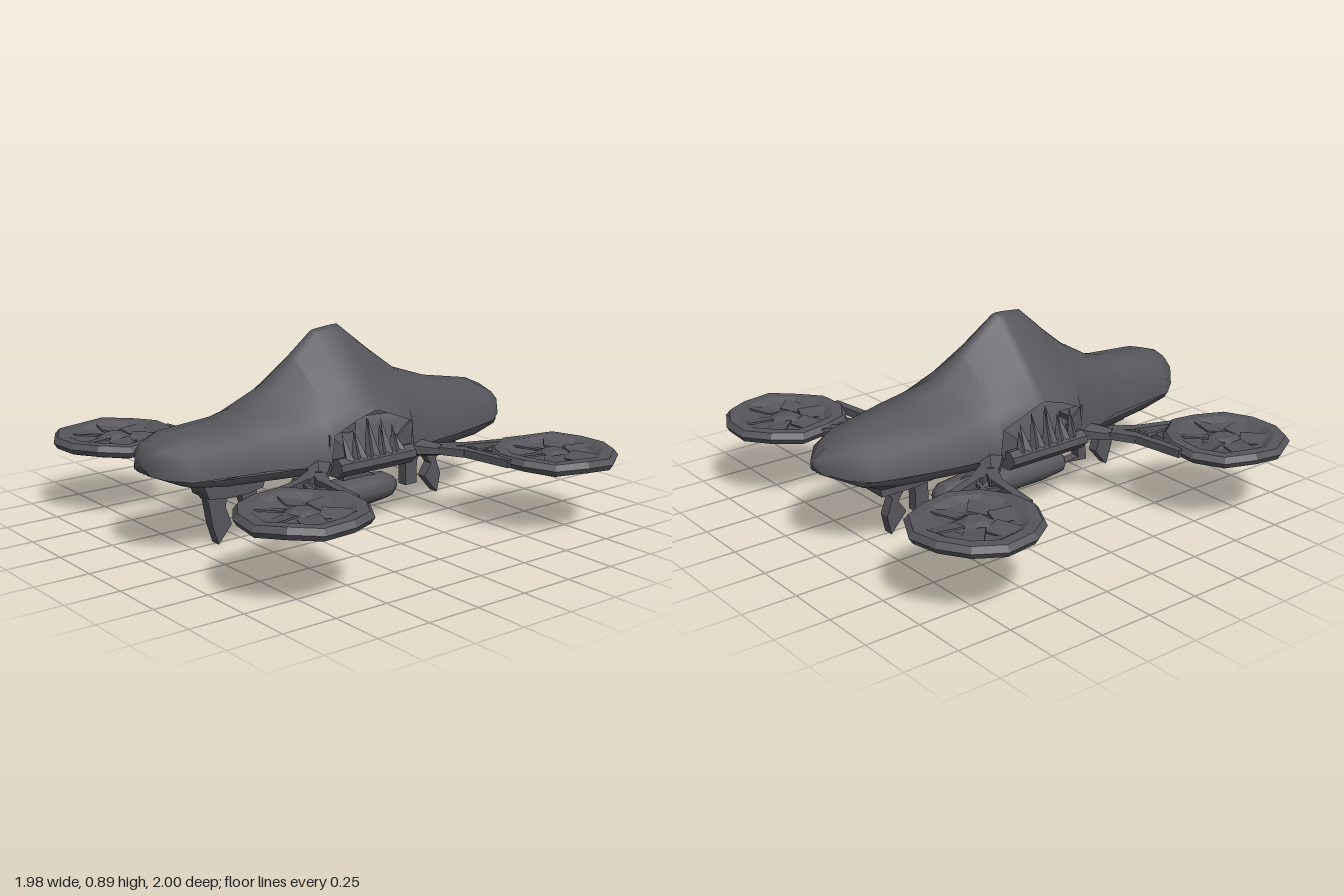
import * as THREE from 'three';

const gunmetal = new THREE.MeshStandardMaterial({ color: 0x55555b, side: THREE.DoubleSide });
gunmetal.name = 'gunmetal';

// Separate the faces so each one shades flat
function faceted(geo) {
  const g = geo.index ? geo.toNonIndexed() : geo;
  g.computeVertexNormals();
  return g;
}

function add(parent, name, geo, x = 0, y = 0, z = 0) {
  const m = new THREE.Mesh(geo, gunmetal);
  m.name = name;
  m.position.set(x, y, z);
  parent.add(m);
  return m;
}

// Skin a list of cross-sections, each a list of [x, y, z], closed to a point at both tips
function loft(sections) {
  const tip = x => sections[0].map(() => [x, 0.42, 0]);
  const rows = [tip(-0.99), ...sections, tip(0.99)];
  const n = rows[0].length, idx = [];
  for (let i = 0; i < rows.length - 1; i++) {
    for (let j = 0; j < n - 1; j++) {
      const a = i * n + j, b = a + n;
      idx.push(a, b, a + 1, b, b + 1, a + 1);
    }
  }
  const g = new THREE.BufferGeometry();
  g.setAttribute('position', new THREE.Float32BufferAttribute(rows.flat(2), 3));
  g.setIndex(idx);
  g.computeVertexNormals();
  return g;
}

// Turn a half profile of [z, y] into a full section at x
function section(x, half) {
  const left = half.map(([z, y]) => [x, y, z]);
  const right = half.slice(0, -1).reverse().map(([z, y]) => [x, y, -z]);
  return [...left, ...right];
}

// Lay a geometry that runs along z between two points
function span(parent, name, geo, a, b) {
  const q = new THREE.Vector3(...b);
  const m = add(parent, name, geo);
  m.position.set(...a).add(q).multiplyScalar(0.5);
  m.lookAt(q);
  return m;
}

const gap = (a, b) => Math.hypot(a[0] - b[0], a[1] - b[1], a[2] - b[2]);

// Straight bar between two points, w wide and h tall
function bar(parent, name, a, b, w, h) {
  return span(parent, name, new THREE.BoxGeometry(w, h, gap(a, b)), a, b);
}

// Flat outline in x and y given a thickness in z
function plate(parent, name, pts, depth, z = 0) {
  const shape = new THREE.Shape(pts.map(([x, y]) => new THREE.Vector2(x, y)));
  const g = new THREE.ExtrudeGeometry(shape, { depth, bevelEnabled: false });
  return add(parent, name, g, 0, 0, z - depth / 2);
}

function addHull(group) {
  // x, top height, half width, shoulder height, lower edge height, ridge half width
  const stations = [
    [-0.985, 0.47, 0.06, 0.44, 0.39, 0.03],
    [-0.95, 0.52, 0.12, 0.46, 0.38, 0.06],
    [-0.86, 0.55, 0.185, 0.47, 0.37, 0.08],
    [-0.6, 0.57, 0.2, 0.48, 0.36, 0.08],
    [-0.5, 0.595, 0.21, 0.5, 0.36, 0.07],
    [-0.35, 0.68, 0.27, 0.52, 0.36, 0.05],
    [-0.225, 0.78, 0.29, 0.55, 0.36, 0.04],
    [-0.21, 0.795, 0.292, 0.555, 0.485, 0.035],
    [-0.1, 0.89, 0.298, 0.58, 0.535, 0.025],
    [0, 0.9, 0.298, 0.585, 0.565, 0.025],
    [0.035, 0.9, 0.298, 0.585, 0.56, 0.025],
    [0.14, 0.82, 0.297, 0.57, 0.52, 0.03],
    [0.225, 0.755, 0.292, 0.55, 0.485, 0.035],
    [0.24, 0.745, 0.29, 0.545, 0.36, 0.04],
    [0.36, 0.66, 0.272, 0.52, 0.36, 0.05],
    [0.55, 0.595, 0.24, 0.49, 0.36, 0.06],
    [0.82, 0.545, 0.195, 0.46, 0.37, 0.06],
    [0.91, 0.505, 0.135, 0.45, 0.38, 0.04],
    [0.98, 0.46, 0.045, 0.43, 0.4, 0.02],
  ];
  // The tall middle has straight flanks, the ends are rounder
  add(group, 'upperHull', loft(stations.map(([x, top, w, sh, low, r]) => section(x, [
    [w * 1.04, low], [w * 0.96, sh],
    [w * 0.66, sh + (top - sh) * (top > 0.65 ? 0.35 : 0.55)], [r, top - 0.015], [0, top],
  ]))));

  // x, half width at the rim, rim height, floor height, keel height
  const belly = [
    [-0.98, 0.06, 0.39, 0.385, 0.385], [-0.86, 0.19, 0.37, 0.335, 0.33],
    [-0.7, 0.21, 0.36, 0.31, 0.285], [-0.4, 0.265, 0.36, 0.305, 0.277],
    [0, 0.315, 0.36, 0.3, 0.265], [0.4, 0.275, 0.36, 0.3, 0.243],
    [0.7, 0.22, 0.36, 0.305, 0.25], [0.86, 0.18, 0.37, 0.335, 0.33],
    [0.98, 0.045, 0.4, 0.39, 0.39],
  ];
  add(group, 'belly', loft(belly.map(([x, w, rim, low, keel]) => section(x, [
    [w, rim], [w * 0.92, rim - (rim - low) * 0.7], [w * 0.48, low],
    [w * 0.3, keel + 0.005], [0, keel],
  ]).reverse())));
}

// Wedge sill, corner webs and jagged leaning grille in each side arch
function addGrille(group, s) {
  const wedge = new THREE.Shape([[0.24, 0.3], [0.32, 0.3], [0.355, 0.335], [0.35, 0.365],
    [0.32, 0.385], [0.24, 0.37]].map(p => new THREE.Vector2(...p)));
  const sill = new THREE.ExtrudeGeometry(wedge, { depth: 0.42, bevelEnabled: false });
  sill.rotateY(-s * Math.PI / 2);
  // Both sides run the profile outward, away from the hull
  const m = add(group, 'grilleSill', sill, s * 0.21, 0, 0);
  m.rotation.y = Math.PI;
  m.position.x = -s * 0.21;
  m.position.z = 0;
  for (const sx of [1, -1]) {
    const web = [[0.23, 0.49], [0.235, 0.35], [0.12, 0.35], [0.14, 0.42]];
    plate(group, 'archWeb', web.map(([x, y]) => [sx * x, y]), 0.012, s * 0.288);
  }
  for (let i = 0; i < 9; i++) {
    const x = -0.144 + i * 0.036;
    const top = 0.555 - Math.abs(x) * 0.45 - (i % 3) * 0.02;
    const foot = [x, 0.365, s * 0.325], head = [x + (i % 2 ? 0.015 : -0.015), top, s * 0.282];
    const spike = new THREE.ConeGeometry(0.024, gap(foot, head), 4);
    spike.rotateX(Math.PI / 2);
    span(group, 'grilleSpike', faceted(spike), foot, head);
  }
}

function addRotor(group, sx, sz) {
  const rotor = new THREE.Group();
  rotor.name = 'rotor';
  rotor.position.set(sx * 0.698, 0, sz * 0.72);
  rotor.rotation.y = sx * 0.3 + sz * 0.5;
  group.add(rotor);
  // Ring and closed underside, slightly dented
  const profile = [[0, 0.3], [0.06, 0.295], [0.1, 0.31], [0.22, 0.305], [0.268, 0.32],
    [0.284, 0.345], [0.264, 0.37], [0.215, 0.37], [0.18, 0.35], [0.1, 0.335], [0, 0.335]];
  const duct = new THREE.LatheGeometry(profile.map(p => new THREE.Vector2(...p)), 12);
  const pos = duct.attributes.position;
  for (let i = 0; i < pos.count; i++) {
    const a = Math.atan2(pos.getZ(i), pos.getX(i) + 1e-9);
    const k = 1 + 0.018 * Math.sin(3 * a + sx);
    pos.setXYZ(i, pos.getX(i) * k, pos.getY(i) + 0.006 * Math.sin(5 * a + sz), pos.getZ(i) * k);
  }
  add(rotor, 'rotorDuct', faceted(duct));
  add(rotor, 'rotorHub', faceted(new THREE.CylinderGeometry(0.045, 0.1, 0.03, 7)), 0, 0.35, 0);
  for (let i = 0; i < 6; i++) {
    const pivot = new THREE.Group();
    pivot.name = 'rotorBlade';
    pivot.rotation.y = i * Math.PI / 3;
    rotor.add(pivot);
    const blade = add(pivot, 'blade', new THREE.BoxGeometry(0.14, 0.008, 0.09), 0.14, 0.35, 0);
    blade.rotation.x = 0.2;
  }
}

// Forked arm carrying one rotor
function addArm(group, sx, sz) {
  const at = (x, y, z) => [sx * x, y, sz * z];
  const strut = (a, b, w, h = 0.035) => bar(group, 'armStrut', at(...a), at(...b), w, h);
  const a = at(0.25, 0.35, 0.23), b = at(0.345, 0.344, 0.365);
  const root = new THREE.CylinderGeometry(0.04, 0.075, gap(a, b), 6);
  root.rotateX(Math.PI / 2);
  root.scale(1, 0.65, 1);
  span(group, 'armRoot', faceted(root), a, b);
  strut([0.32, 0.345, 0.32], [0.4, 0.345, 0.47], 0.055);
  strut([0.395, 0.345, 0.45], [0.432, 0.345, 0.72], 0.04);
  strut([0.31, 0.345, 0.31], [0.45, 0.345, 0.4], 0.055);
  strut([0.43, 0.345, 0.39], [0.66, 0.345, 0.475], 0.04);
  // Thin star brace in the fork
  const hub = [0.475, 0.34, 0.48];
  [[0.42, 0.345, 0.52], [0.46, 0.345, 0.41], [0.56, 0.345, 0.49], [0.5, 0.345, 0.57]]
    .forEach(p => strut(hub, p, 0.018, 0.016));
}

function addLegs(group) {
  // Wide mounts under the keel
  plate(group, 'rearMount', [[-0.73, 0.31], [-0.7, 0.235], [-0.6, 0.225], [-0.5, 0.225],
    [-0.42, 0.24], [-0.4, 0.31]], 0.13);
  plate(group, 'frontMount', [[0.41, 0.31], [0.43, 0.23], [0.53, 0.22], [0.7, 0.22],
    [0.72, 0.31]], 0.13);
  plate(group, 'rearLeg', [[-0.71, 0.25], [-0.68, 0.21], [-0.66, 0.1],
    [-0.63, 0.01], [-0.56, 0.09], [-0.59, 0.17], [-0.58, 0.25]], 0.05);
  plate(group, 'rearStrut', [[-0.59, 0.25], [-0.51, 0.22], [-0.49, 0.16],
    [-0.5, 0.07], [-0.36, 0.085], [-0.45, 0.095], [-0.43, 0.2], [-0.42, 0.25]], 0.05);
  plate(group, 'frontStrut', [[0.43, 0.25], [0.43, 0.08], [0.5, 0.08],
    [0.5, 0.19], [0.54, 0.25]], 0.05);
  plate(group, 'frontLeg', [[0.56, 0.25], [0.56, 0.2], [0.59, 0.16], [0.55, 0.1],
    [0.63, 0.01], [0.65, 0.1], [0.62, 0.18], [0.7, 0.25]], 0.05);
}

function addPod(group) {
  const profile = [[0, -0.35], [0.05, -0.345], [0.065, -0.33], [0.08, -0.2], [0.083, 0.2],
    [0.07, 0.32], [0.04, 0.365], [0, 0.37]].map(p => new THREE.Vector2(...p));
  const pod = new THREE.LatheGeometry(profile, 10);
  pod.rotateZ(-Math.PI / 2);
  pod.scale(1, 0.88, 1.06);
  add(group, 'pod', pod, 0, 0.1, 0);
  plate(group, 'podBracket', [[-0.32, 0.155], [-0.22, 0.19], [-0.2, 0.22], [-0.1, 0.248],
    [0.07, 0.248], [0.09, 0.21], [0.18, 0.2], [0.27, 0.155], [0.06, 0.155], [0.06, 0.225],
    [-0.08, 0.225], [-0.1, 0.155]], 0.04);
}

export function createModel() {
  const group = new THREE.Group();
  group.name = 'drone';
  addHull(group);
  for (const sz of [1, -1]) {
    addGrille(group, sz);
    for (const sx of [1, -1]) {
      addArm(group, sx, sz);
      addRotor(group, sx, sz);
    }
  }
  addLegs(group);
  addPod(group);
  return group;
}
